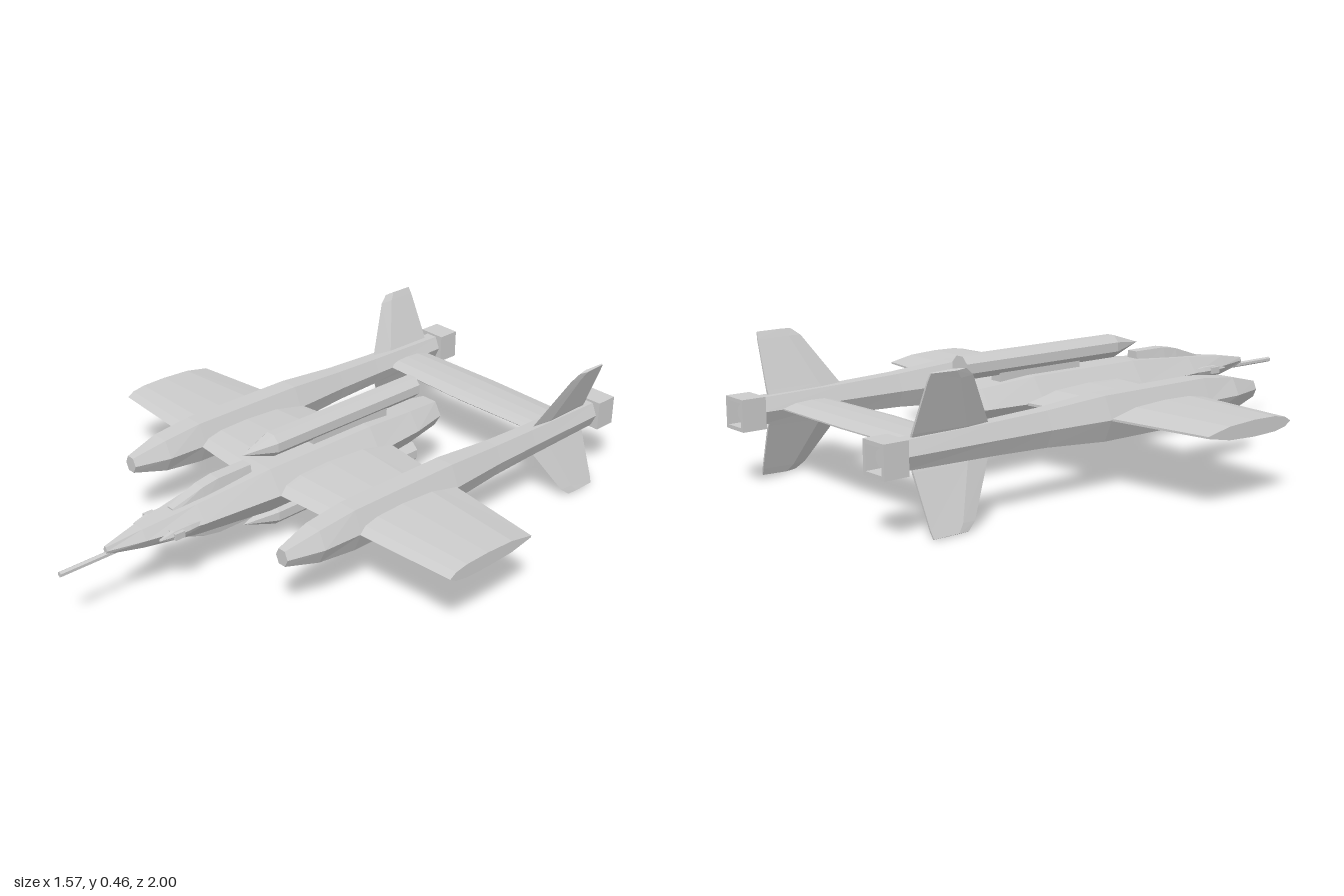
import * as THREE from 'three';

const MID = 0.23; // height of the symmetry plane
const mat = new THREE.MeshStandardMaterial({ color: 0xcccccc, flatShading: true });

// Skin a list of equal-length rings of [x, y, z], closing both ends
function loft(rings) {
  const tris = [];
  const n = rings[0].length;
  for (let i = 0; i < rings.length - 1; i++) {
    for (let j = 0; j < n; j++) {
      const k = (j + 1) % n;
      const a = rings[i][j], b = rings[i][k], c = rings[i + 1][k], d = rings[i + 1][j];
      tris.push([a, b, c], [a, c, d]);
    }
  }
  const first = rings[0], last = rings[rings.length - 1];
  for (let j = 1; j < n - 1; j++) {
    tris.push([first[0], first[j + 1], first[j]], [last[0], last[j], last[j + 1]]);
  }
  // Turn the faces outward whichever way the rings run
  const v = (p) => new THREE.Vector3(...p);
  const volume = tris.reduce((s, [a, b, c]) => s + v(a).dot(v(b).cross(v(c))), 0);
  if (volume < 0) tris.forEach((t) => t.reverse());
  const geo = new THREE.BufferGeometry();
  geo.setAttribute('position', new THREE.Float32BufferAttribute(tris.flat(2), 3));
  geo.computeVertexNormals();
  return geo;
}

// Hexagonal body along z from stations [z, halfWidth, halfHeight, yOffset]
function hexBody(stations, x = 0, flat = 0.52) {
  return loft(stations.map(([z, w, h, dy = 0]) =>
    [[1, 0], [flat, 1], [-flat, 1], [-1, 0], [-flat, -1], [flat, -1]]
      .map(([u, t]) => [x + u * w, MID + dy + t * h, z])));
}

// Lens-shaped section across x: leading edge, trailing edge, half thickness
const AIRFOIL = [[0, 0], [0.07, 0.6], [0.2, 0.92], [0.45, 1], [0.75, 0.8], [1, 0.12],
  [1, -0.12], [0.75, -0.8], [0.45, -1], [0.2, -0.92], [0.07, -0.6]];
const wingSection = (x, lead, trail, t) =>
  AIRFOIL.map(([u, h]) => [x, MID + h * t, lead + (trail - lead) * u]);

export function createModel() {
  const group = new THREE.Group();
  const add = (name, geo, x = 0, y = 0, z = 0) => {
    const mesh = new THREE.Mesh(geo, mat);
    mesh.name = name;
    mesh.position.set(x, y, z);
    group.add(mesh);
    return mesh;
  };

  // Central fuselage and nose probe
  add('fuselage', hexBody([
    [0.84, 0.009, 0.012], [0.72, 0.04, 0.032], [0.53, 0.08, 0.053], [0.25, 0.105, 0.075],
    [-0.18, 0.105, 0.075], [-0.38, 0.087, 0.06], [-0.52, 0.056, 0.045],
  ]));
  add('noseProbe', new THREE.CylinderGeometry(0.009, 0.009, 0.28, 6).rotateX(Math.PI / 2), 0, 0.215, 0.86);

  // Main wing and tailplane
  add('wing', loft([
    wingSection(-0.785, 0.2, -0.15, 0.025), wingSection(-0.1, 0.25, -0.24, 0.033),
    wingSection(0.1, 0.25, -0.24, 0.033), wingSection(0.785, 0.2, -0.15, 0.025),
  ]));
  add('tailplane', loft([
    wingSection(-0.37, -0.67, -0.855, 0.016), wingSection(0, -0.66, -0.862, 0.018),
    wingSection(0.37, -0.67, -0.855, 0.016),
  ]));

  // Canopy above, matching fairing below, each with a weapon pod on a pylon
  for (const s of [1, -1]) {
    const canopySection = (z, w, top) =>
      [[w, 0.035], [w * 0.65, top], [-w * 0.65, top], [-w, 0.035]].map(([x, h]) => [x, MID + s * h, z]);
    add(s > 0 ? 'canopy' : 'bellyFairing', loft([
      canopySection(0.6, 0.018, 0.05), canopySection(0.49, 0.03, 0.086),
      canopySection(0.43, 0.032, 0.096), canopySection(0.3, 0.03, 0.096),
    ]));

    const side = s > 0 ? 'upper' : 'lower';
    const podY = MID + s * 0.125;
    const r = 0.04;
    const pod = new THREE.LatheGeometry([
      new THREE.Vector2(0, -0.43), new THREE.Vector2(r, -0.43),
      new THREE.Vector2(r, 0.2), new THREE.Vector2(0, 0.32),
    ], 8, Math.PI / 8).rotateX(Math.PI / 2);
    add(side + 'Pod', pod, 0, podY);
    add(side + 'Pylon', new THREE.BoxGeometry(0.045, 0.04, 0.33), 0, MID + s * 0.08, -0.125);
  }

  // Everything that comes in left and right pairs
  for (const s of [1, -1]) {
    const side = s > 0 ? 'left' : 'right';
    const bx = s * 0.376;

    // Nose sensor block with its tapering fairing
    add(side + 'NoseBlock', new THREE.BoxGeometry(0.04, 0.022, 0.035), s * 0.064, MID, 0.627);
    add(side + 'NoseFairing', hexBody([[0.69, 0.004, 0.003], [0.64, 0.013, 0.014],
      [0.58, 0.013, 0.014], [0.47, 0.004, 0.005]], s * 0.065));

    // Engine boom
    add(side + 'Boom', hexBody([
      [0.48, 0.026, 0.026], [0.36, 0.058, 0.055], [0.22, 0.063, 0.07], [-0.2, 0.063, 0.07],
      [-0.42, 0.048, 0.055], [-0.6, 0.044, 0.049], [-0.93, 0.04, 0.042],
    ], bx));

    // Square exhaust frame with a round nozzle recessed inside
    const frame = new THREE.Shape([[-1, -1], [1, -1], [1, 1], [-1, 1]]
      .map(([x, y]) => new THREE.Vector2(x * 0.05, y * 0.05)));
    frame.holes.push(new THREE.Path([[-1, -1], [-1, 1], [1, 1], [1, -1]]
      .map(([x, y]) => new THREE.Vector2(x * 0.038, y * 0.038))));
    add(side + 'ExhaustFrame', new THREE.ExtrudeGeometry(frame, { depth: 0.08, bevelEnabled: false }), bx, MID, -1);
    add(side + 'ExhaustBulkhead', new THREE.BoxGeometry(0.08, 0.08, 0.02), bx, MID, -0.93);
    add(side + 'Nozzle', new THREE.CylinderGeometry(0.027, 0.027, 0.04, 12).rotateX(Math.PI / 2), bx, MID, -0.955);

    // Splayed fins above and below the boom
    for (const v of [1, -1]) {
      const finSection = (x, h, lead, trail, t) =>
        [[0, 0], [0.3, 1], [1, 0.4], [1, -0.4], [0.3, -1]].map(([u, o]) =>
          [s * (x + o * t), MID + v * (h - o * t * 0.45), lead + (trail - lead) * u]);
      add(side + (v > 0 ? 'UpperFin' : 'LowerFin'), loft([
        finSection(0.375, 0.03, -0.61, -0.88, 0.009),
        finSection(0.386, 0.055, -0.625, -0.882, 0.009),
        finSection(0.448, 0.205, -0.72, -0.872, 0.006),
        finSection(0.458, 0.228, -0.75, -0.868, 0.005),
      ]));
    }
  }
  return group;
}
